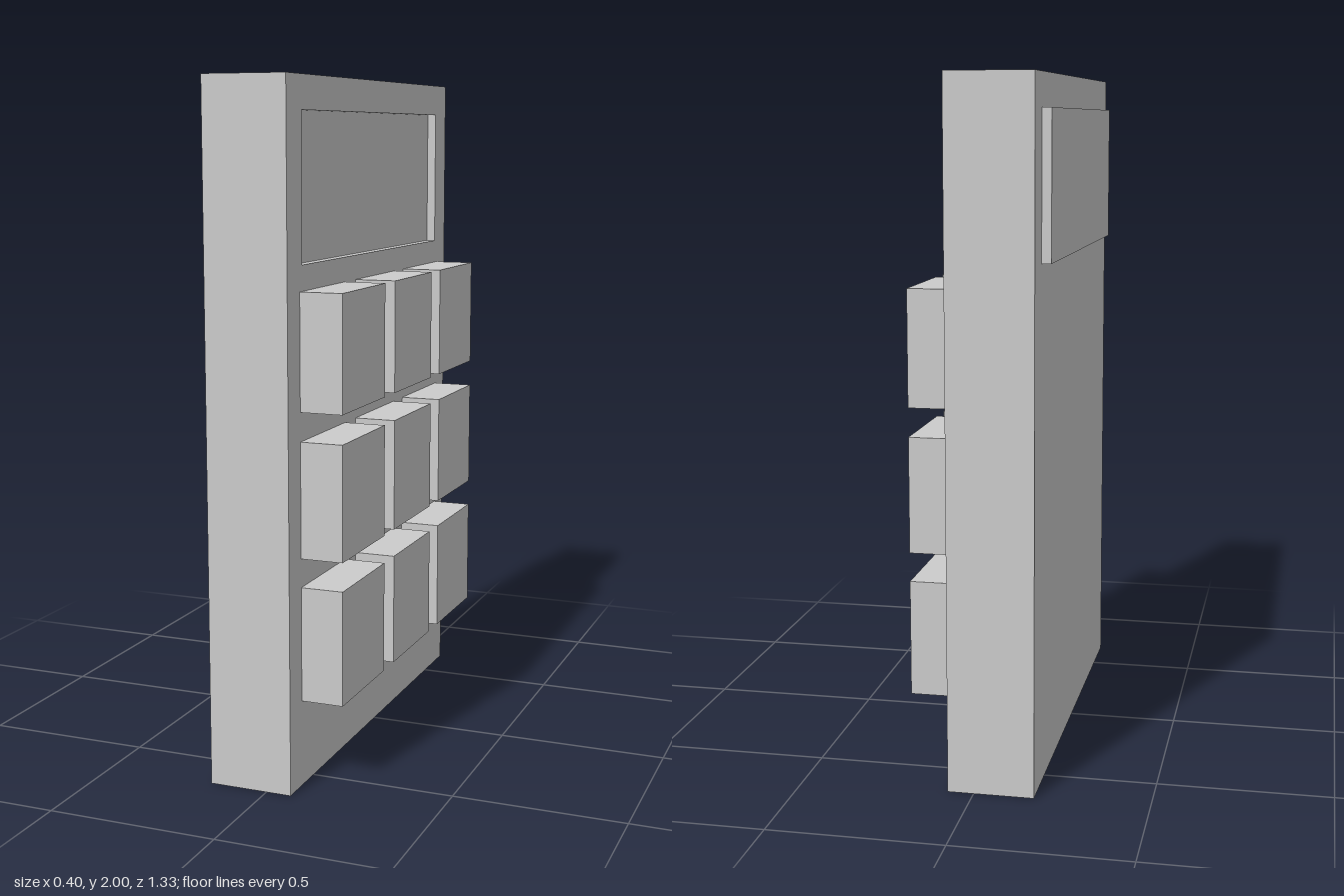
import * as THREE from 'three';

const BACK = -0.173, FACE = 0.075;      // casing thickness along x
const SCREEN = { w: 1.128, y0: 1.489, y1: 1.905, shift: 0.027 };
const KEY = { size: 0.333, depth: 0.125, pitch: 0.416, y: 0.4185 };

// Rectangle path centred on x = 0
function rect(path, w, y0, y1) {
  path.moveTo(-w / 2, y0);
  path.lineTo(w / 2, y0);
  path.lineTo(w / 2, y1);
  path.lineTo(-w / 2, y1);
  path.closePath();
  return path;
}

export function createModel() {
  const model = new THREE.Group();
  model.name = 'calculator';
  const material = new THREE.MeshStandardMaterial({ color: 0xcccccc, flatShading: true });

  function add(name, geometry, x = 0, y = 0, z = 0) {
    const mesh = new THREE.Mesh(geometry, material);
    mesh.name = name;
    mesh.position.set(x, y, z);
    model.add(mesh);
  }

  // Casing: slab with a window for the display, extruded along +x
  const outline = rect(new THREE.Shape(), 1.333, 0, 2);
  outline.holes.push(rect(new THREE.Path(), SCREEN.w, SCREEN.y0, SCREEN.y1));
  const casing = new THREE.ExtrudeGeometry(outline, { depth: FACE - BACK, bevelEnabled: false });
  casing.rotateY(Math.PI / 2);
  add('casing', casing, BACK);

  // Display block: sunk into the key side, standing proud of the back
  const screen = new THREE.BoxGeometry(FACE - BACK, SCREEN.y1 - SCREEN.y0, SCREEN.w);
  add('display', screen, (FACE + BACK) / 2 - SCREEN.shift, (SCREEN.y0 + SCREEN.y1) / 2);

  // Three by three keypad
  const key = new THREE.BoxGeometry(KEY.depth, KEY.size, KEY.size);
  for (let row = 0; row < 3; row++) {
    for (let col = -1; col <= 1; col++) {
      add(`key${row * 3 + col + 2}`, key, FACE + KEY.depth / 2, KEY.y + row * KEY.pitch, -col * KEY.pitch);
    }
  }
  return model;
}
